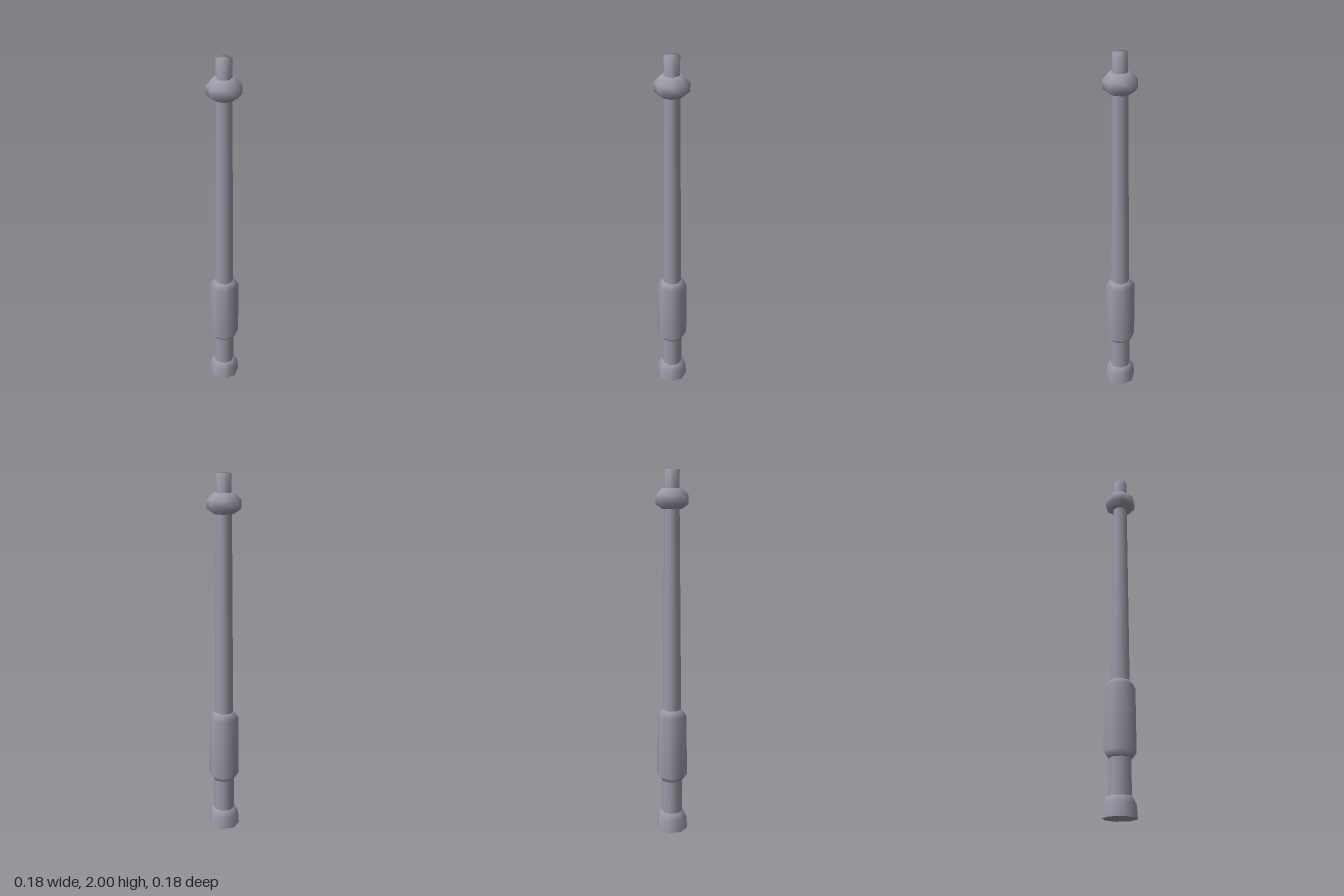
import * as THREE from 'three';

export function createModel() {
  const group = new THREE.Group();
  const metal = new THREE.MeshStandardMaterial({ color: 0x9d99a8 });
  metal.name = 'greyMetal';

  // Eight-sided turned section from [radius, height] pairs, bottom to top
  const turned = (name, profile) => {
    const points = profile.map(([r, y]) => new THREE.Vector2(r, y));
    const mesh = new THREE.Mesh(new THREE.LatheGeometry(points, 8), metal);
    mesh.name = name;
    group.add(mesh);
  };

  // Foot with a flat underside
  turned('footUnderside', [[0, 0], [0.089, 0]]);
  turned('foot', [[0.089, 0], [0.084, 0.07], [0.068, 0.105], [0.055, 0.105]]);

  // Narrow neck between foot and sleeve
  turned('lowerNeck', [[0.06, 0.1], [0.058, 0.3]]);

  // Thick sleeve with bevelled ends
  turned('sleeve', [[0.05, 0.297], [0.063, 0.297], [0.086, 0.33], [0.083, 0.675], [0.056, 0.71], [0.045, 0.71]]);

  // Long tapering shaft
  turned('shaft', [[0.052, 0.705], [0.041, 1.81]]);

  // Rounded collar near the top
  turned('collar', [[0.038, 1.8], [0.052, 1.8], [0.088, 1.825], [0.088, 1.87], [0.056, 1.905], [0.036, 1.905]]);

  // Closed tip
  turned('tip', [[0.039, 1.89], [0.039, 2], [0, 2]]);

  return group;
}
